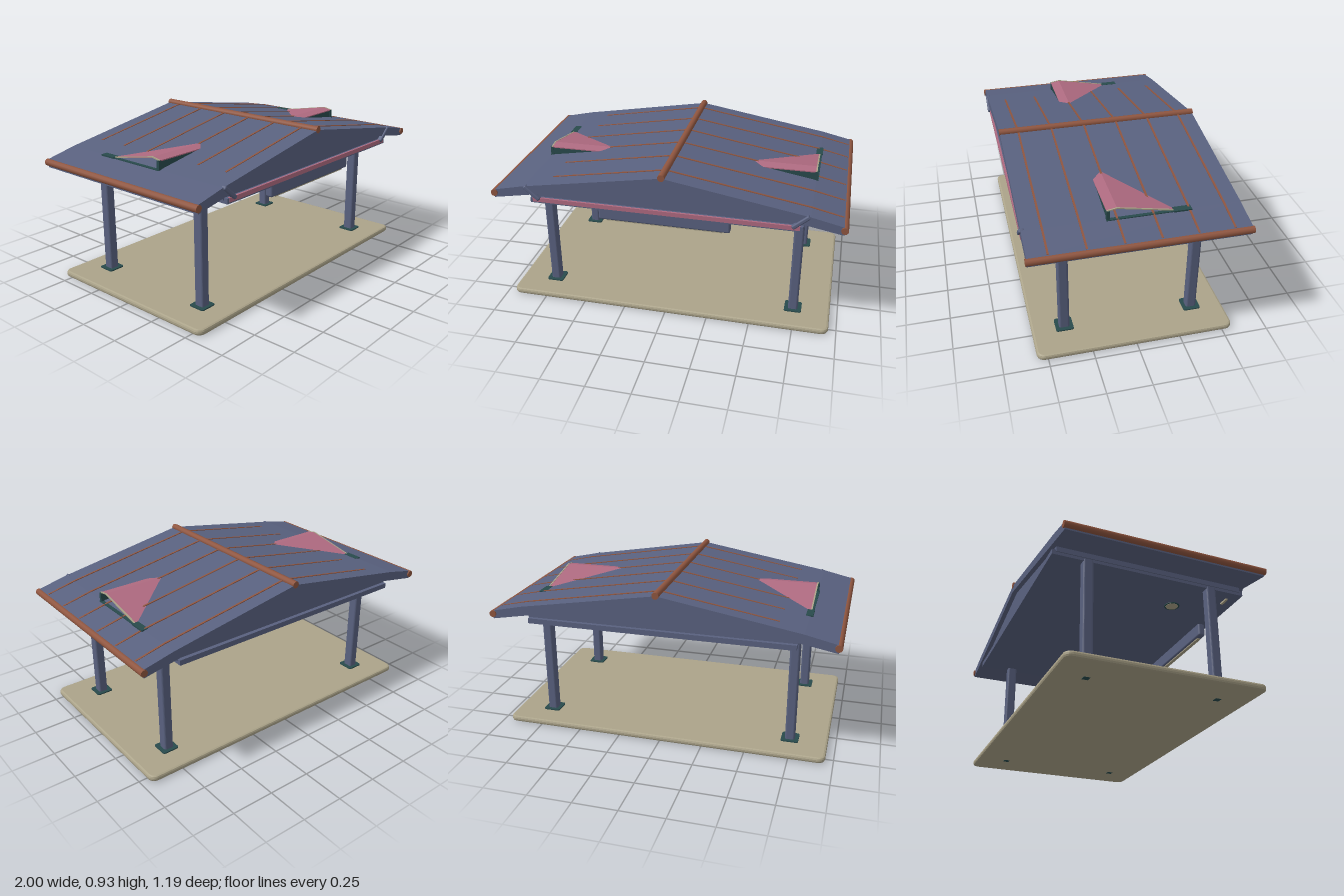
import * as THREE from 'three';
import { RoundedBoxGeometry } from 'three/addons/geometries/RoundedBoxGeometry.js';

const mat = (name, color, side = THREE.FrontSide) => {
  const m = new THREE.MeshStandardMaterial({ color, side });
  m.name = name;
  return m;
};

// extrude a polygon of [x, y] points along z, centred on z = 0
function prism(points, depth) {
  const shape = new THREE.Shape(points.map(([x, y]) => new THREE.Vector2(x, y)));
  const g = new THREE.ExtrudeGeometry(shape, { depth, bevelEnabled: false });
  return g.translate(0, 0, -depth / 2);
}

// upright slab with rounded corners and an optional chamfer, standing on y = 0
function slab(w, h, d, r, bevel = 0) {
  const x = w / 2 - bevel, y = d / 2 - bevel;
  const s = new THREE.Shape();
  s.moveTo(-x + r, -y);
  s.lineTo(x - r, -y);
  s.absarc(x - r, -y + r, r, -Math.PI / 2, 0);
  s.absarc(x - r, y - r, r, 0, Math.PI / 2);
  s.absarc(-x + r, y - r, r, Math.PI / 2, Math.PI);
  s.absarc(-x + r, -y + r, r, Math.PI, Math.PI * 1.5);
  const g = new THREE.ExtrudeGeometry(s, {
    depth: h - 2 * bevel, curveSegments: 4, bevelEnabled: bevel > 0,
    bevelSize: bevel, bevelThickness: bevel, bevelSegments: 2,
  });
  return g.translate(0, 0, bevel).rotateX(-Math.PI / 2);
}

export function createModel() {
  const blue = mat('slateBlue', 0x59617f);
  const khaki = mat('khaki', 0xaba389);
  const brown = mat('copperBrown', 0x8f553f);
  const pink = mat('dustyPink', 0xae6a80, THREE.DoubleSide);
  const teal = mat('darkTeal', 0x284a4c);

  const model = new THREE.Group();
  model.name = 'pavilion';
  const add = (name, geometry, material, x = 0, y = 0, z = 0, parent = model) => {
    const m = new THREE.Mesh(geometry, material);
    m.name = name;
    m.position.set(x, y, z);
    parent.add(m);
    return m;
  };
  const box = (w, h, d) => new THREE.BoxGeometry(w, h, d);

  // floor slab
  add('floorSlab', slab(1.91, 0.034, 1.12, 0.03, 0.012), khaki, 0, 0.001, 0);

  // posts with foot plates and anchors under the slab
  for (const x of [-0.74, 0.74]) for (const z of [-0.375, 0.375]) {
    add('post', slab(0.056, 0.65, 0.06, 0.012), blue, x, 0.034, z);
    add('footPlate', slab(0.1, 0.008, 0.1, 0.012), teal, x, 0.034, z);
    add('anchor', box(0.035, 0.004, 0.035), teal, x, 0.002, z);
  }

  // roof shell with a slight kink towards the eaves
  add('roof', prism([
    [0, 0.905], [-0.8, 0.77], [-0.98, 0.73], [-0.98, 0.682], [-0.78, 0.718],
    [0, 0.858], [0.78, 0.718], [0.98, 0.682], [0.98, 0.73], [0.8, 0.77],
  ], 1.175), blue);
  add('gable', prism([[-0.77, 0.69], [0.77, 0.69], [0.77, 0.722], [0, 0.862], [-0.77, 0.722]], 1.12), blue);
  add('ceiling', box(1.53, 0.03, 1.165), blue, 0, 0.687, 0);
  add('frontTrim', box(1.5, 0.025, 0.012), pink, 0, 0.692, 0.58);

  // ridge and eave pipes
  const pipe = (length) => new THREE.CylinderGeometry(0.02, 0.02, length, 12).rotateX(Math.PI / 2);
  add('ridgePipe', pipe(1.18), brown, 0, 0.906, 0);
  for (const s of [-1, 1]) add('eavePipe', pipe(1.19), brown, s * 0.98, 0.712, 0);

  // thin roof ribs
  for (let i = 0; i < 6; i++) {
    const z = 0.48 - i * 0.195;
    add('rib', prism([[0, 0.9], [0.8, 0.765], [0.97, 0.727], [0.97, 0.734], [0.8, 0.774], [0, 0.909]], 0.011), brown, 0, 0, z);
    add('rib', prism([[0, 0.909], [-0.66, 0.796], [-0.66, 0.788], [0, 0.9]], 0.011), brown, 0, 0, z);
  }

  // dormers: sloped canopy with an open outer side
  for (const s of [-1, 1]) {
    const dormer = new THREE.Group();
    dormer.name = s > 0 ? 'leftDormer' : 'rightDormer';
    model.add(dormer);
    // the profile is drawn in (-z, y) and swept along x
    const sweep = (points, depth) => prism(points, depth).rotateY(Math.PI / 2);
    const canopy = [[-0.145, 0.822], [-0.09, 0.832], [0.24, 0.768], [0.24, 0.762], [-0.09, 0.826], [-0.145, 0.816]];
    add('canopy', sweep(canopy, 0.375), pink, s * 0.61, 0, 0, dormer);
    add('canopyEdge', sweep(canopy.map(([u, y]) => [u, y + 0.002]), 0.008), khaki, s * 0.799, 0, 0, dormer);
    const wall = [[0.48, 0.82], [0.8, 0.82], [0.8, 0.762]].map(([x, y]) => [s * x, y]);
    add('frontWall', prism(wall, 0.012), teal, 0, 0, 0.138, dormer);
    add('cornerPost', box(0.018, 0.062, 0.018), teal, s * 0.8, 0.79, 0.138, dormer);
    add('sill', box(0.02, 0.012, 0.46), teal, s * 0.803, 0.766, -0.082, dormer);
    add('sillEnd', box(0.04, 0.014, 0.1), teal, s * 0.797, 0.768, -0.262, dormer);

    // corner brace and small lamp on the front
    const brace = add('cornerBrace', new RoundedBoxGeometry(0.115, 0.024, 0.03, 2, 0.008), blue, s * 0.752, 0.733, 0.583);
    brace.rotation.z = s * 0.72;
    add('smallLamp', box(0.06, 0.01, 0.014), khaki, s * 0.68, 0.665, 0.51);

    // ceiling lights
    add('lightRing', new THREE.CylinderGeometry(0.045, 0.045, 0.006, 20), teal, s * 0.51, 0.671, 0.255);
    add('lightDisc', new THREE.CylinderGeometry(0.036, 0.036, 0.006, 20), khaki, s * 0.51, 0.669, 0.255);
  }

  // hanging board with a light strip below
  add('hangingBoard', new RoundedBoxGeometry(0.75, 0.098, 0.044, 3, 0.012), blue, 0, 0.643, 0.534);
  add('lightStrip', box(0.66, 0.008, 0.022), khaki, 0, 0.591, 0.534);

  return model;
}
